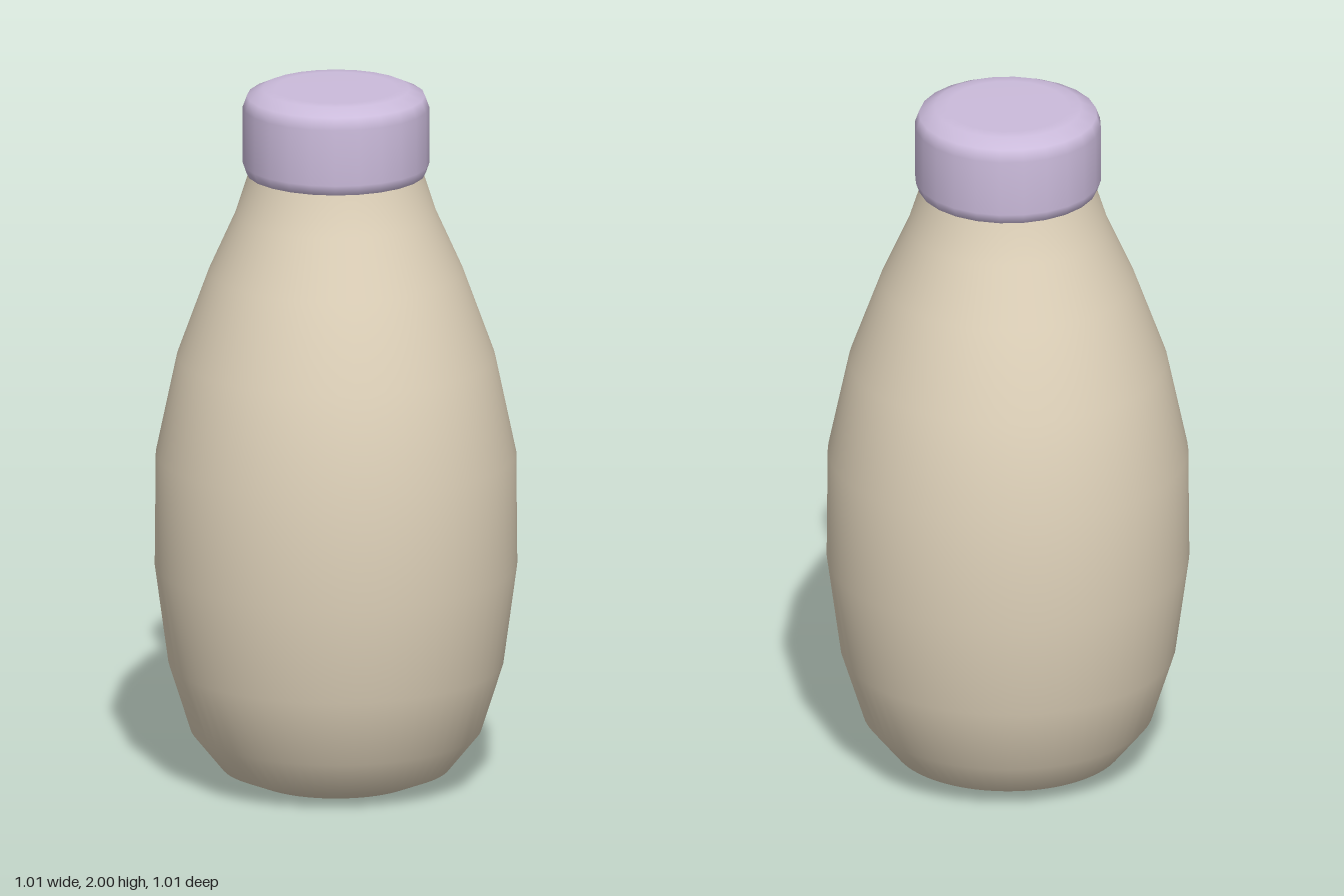
import * as THREE from 'three';

// Smooth turned part from a bottom-to-top profile of [radius, height] pairs
function turned(name, profile, segments, material) {
  const points = profile.map(([r, y]) => new THREE.Vector2(r, y));
  const mesh = new THREE.Mesh(new THREE.LatheGeometry(points, segments), material);
  mesh.name = name;
  return mesh;
}

export function createModel() {
  const bodyColour = new THREE.MeshStandardMaterial({ name: 'cream body', color: 0xdfd2ba });
  const capColour = new THREE.MeshStandardMaterial({ name: 'lilac cap', color: 0xcbbbdb });

  const model = new THREE.Group();
  model.name = 'bottle';

  // Rounded body tapering up to the neck, which ends inside the cap
  model.add(turned('body', [
    [0, 0.005], [0.19, 0.007], [0.23, 0.013], [0.32, 0.05], [0.405, 0.155], [0.467, 0.35],
    [0.505, 0.63], [0.502, 0.95], [0.443, 1.23], [0.354, 1.475],
    [0.28, 1.64], [0.243, 1.755], [0.235, 1.8],
  ], 64, bodyColour));

  // Cap with softened rims, closed underneath
  model.add(turned('cap', [
    [0, 1.752], [0.235, 1.752], [0.25, 1.756], [0.26, 1.785],
    [0.26, 1.945], [0.248, 1.978], [0.205, 1.998], [0.17, 2], [0, 2],
  ], 24, capColour));

  return model;
}
